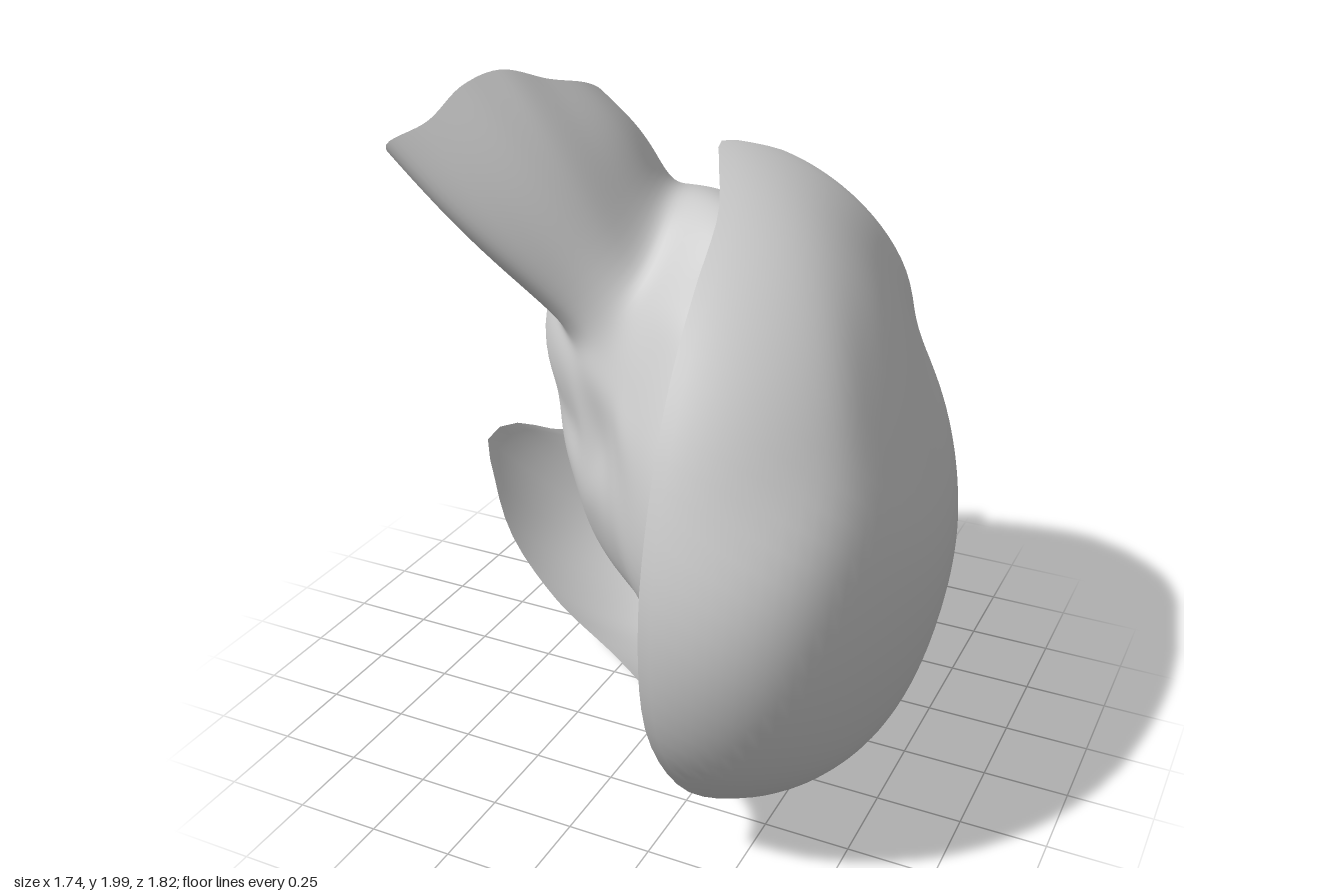
import * as THREE from 'three';

const V = (x, y, z) => new THREE.Vector3(x, y, z);
const triples = (a) => Array.from({ length: a.length / 3 }, (_, i) => V(a[3 * i], a[3 * i + 1], a[3 * i + 2]));
const closed = (pts, n) => new THREE.CatmullRomCurve3(pts, true, 'centripetal').getSpacedPoints(n).slice(0, n);
const N = 96;

// Skin through closed loops of equal length
function loft(name, loops) {
  const pos = [], idx = [];
  loops.forEach((loop) => loop.forEach((p) => pos.push(p.x, p.y, p.z)));
  for (let j = 0; j < loops.length - 1; j++) {
    for (let i = 0; i < N; i++) {
      const a = j * N + i, b = j * N + (i + 1) % N;
      idx.push(a, b, b + N, a, b + N, a + N);
    }
  }
  const g = new THREE.BufferGeometry();
  g.setAttribute('position', new THREE.Float32BufferAttribute(pos, 3));
  g.setIndex(idx);
  g.computeVertexNormals();
  const mesh = new THREE.Mesh(g, new THREE.MeshStandardMaterial({ color: 0xcccccc, side: THREE.DoubleSide }));
  mesh.name = name;
  return mesh;
}

// Skewed ellipsoid around a centre, pulled smoothly towards guide points.
// Returns the radius in a given unit direction.
function blob(center, m, guides, spread) {
  const inv = new THREE.Matrix3().set(...m).invert();
  const base = (d) => 1 / Math.sqrt(d.dot(d.clone().applyMatrix3(inv)));
  const pulls = guides.map((p) => {
    const d = p.clone().sub(center), r = d.length();
    d.divideScalar(r);
    const k = r / base(d) - 1;
    return { d, k, goal: k };
  });
  const pull = (d) => {
    let sum = 0, total = 0.04;
    for (const p of pulls) {
      const w = Math.exp(-p.d.distanceToSquared(d) / spread);
      sum += w * p.k;
      total += w;
    }
    return sum / total;
  };
  // Strengthen the pulls where blending has weakened them
  for (let pass = 0; pass < 2; pass++) {
    const miss = pulls.map((p) => p.goal - pull(p.d));
    pulls.forEach((p, i) => { p.k += 0.7 * miss[i]; });
  }
  return (d) => base(d) * (1 + pull(d));
}

// Outer wall: an open bowl from its wavy rim to a pole
function outerWall() {
  const C = V(0.05, 0.87, 0);
  const rim = triples([
    0.06, 1.8, -0.13, 0.12, 1.78, 0.02, 0.2, 1.7, 0.2, 0.24, 1.57, 0.43, 0.26, 1.42, 0.6,
    0.28, 1.2, 0.76, 0.3, 0.85, 0.89, 0.31, 0.5, 0.87, 0.35, 0.25, 0.74, 0.4, 0.12, 0.58,
    0.38, 0.08, 0.49, 0.3, 0.075, 0.42, 0, 0.095, 0.2, -0.2, 0.125, 0.08, -0.5, 0.2, -0.05,
    -0.7, 0.36, -0.12, -0.8, 0.52, -0.19, -0.85, 0.64, -0.25, -0.8, 0.65, -0.36, -0.72, 0.6, -0.46,
    -0.58, 0.59, -0.59, -0.37, 0.7, -0.78, -0.2, 0.85, -0.88, -0.05, 1.0, -0.9,
    0.07, 1.27, -0.8, 0.11, 1.57, -0.61, 0.16, 1.69, -0.44, 0.1, 1.77, -0.25]);
  const sides = triples([
    0.47, 0.65, 0.91, 0.7, 0.62, 0.75, 0.81, 0.65, 0.5, 0.87, 0.72, 0.18, 0.85, 0.8, -0.05,
    0.75, 0.85, -0.3, 0.6, 0.88, -0.5, 0.35, 0.92, -0.75, 0.08, 0.9, -0.91,
    0.35, 1.7, -0.08, 0.55, 1.5, -0.05, 0.7, 1.25, 0, 0.8, 1.0, 0.05, 0.83, 0.45, 0.18,
    0.72, 0.22, 0.15, 0.55, 0.08, 0.1, 0.3, 0, 0.05, 0, 0.045, -0.02, -0.4, 0.14, -0.18,
    -0.65, 0.3, -0.28, 0.45, 0.42, 0.86, 0.45, 0.2, 0.7, 0.45, 0.08, 0.5, 0.33, 1.48, 0.55,
    0.3, 1.64, 0.35, 0.05, 0.57, -0.82, 0.1, 0.32, -0.6, 0.2, 0.1, -0.27, 0.2, 1.6, -0.6, 0.27, 1.68, -0.42]);
  const radius = blob(C, [0.67, -0.09, 0.2, -0.09, 0.81, -0.09, 0.2, -0.09, 0.83], rim.concat(sides), 0.08);
  const pole = V(0.84, -0.45, -0.28).normalize();
  const edge = closed(rim, N).map((p) => {
    const d = p.clone().sub(C), r = d.length();
    d.divideScalar(r);
    return { d, k: r / radius(d) - 1, angle: d.angleTo(pole), axis: d.clone().cross(pole).normalize() };
  });
  const rows = 40, loops = [];
  for (let j = 0; j <= rows; j++) {
    const v = j / rows;
    loops.push(edge.map((e) => {
      const d = e.d.clone().applyAxisAngle(e.axis, e.angle * v);
      return d.clone().multiplyScalar(radius(d) * (1 + e.k * (1 - v) ** 5)).add(C);
    }));
  }
  return loft('outerWall', loops);
}

// Shift and, if needed, reverse a rim so it matches a root loop
function align(rim, root) {
  let best = null, least = Infinity;
  for (const r of [rim, rim.slice().reverse()]) {
    for (let s = 0; s < N; s++) {
      let sum = 0;
      for (let i = 0; i < N; i++) sum += r[(i + s) % N].distanceToSquared(root[i]);
      if (sum < least) {
        least = sum;
        best = root.map((_, i) => r[(i + s) % N]);
      }
    }
  }
  return best;
}

// Loops from a root to its rim, slightly swollen around the tube's middle
function tube(root, rim, rows, swell) {
  const end = align(rim, root), loops = [];
  for (let j = 1; j <= rows; j++) {
    const t = j / rows;
    const loop = root.map((p, i) => p.clone().lerp(end[i], t));
    const mid = loop.reduce((s, p) => s.add(p), V(0, 0, 0)).divideScalar(N);
    loops.push(loop.map((p) => p.lerp(mid, -swell * Math.sin(Math.PI * t))));
  }
  return loops;
}

// Inner chamber with a wide back opening and a flared upper tube
function innerChamber() {
  const C = V(0.08, 0.9, -0.02);
  const guides = triples([
    -0.1, 1.61, -0.2, 0.1, 1.6, -0.2, 0.25, 1.53, -0.15,
    -0.36, 0.95, 0.02, -0.15, 0.95, 0.19, 0.05, 0.9, 0.4, 0.26, 0.9, 0.6,
    -0.36, 0.65, 0, -0.12, 0.57, 0.2, 0.1, 0.52, 0.43, 0.26, 0.57, 0.63,
    -0.33, 1.2, 0.04, -0.1, 1.2, 0.19, 0.1, 1.2, 0.33, 0.26, 1.25, 0.43,
    -0.05, 1.45, 0.03, 0.2, 1.45, 0.15,
    -0.38, 0.49, -0.1, -0.25, 0.39, 0, 0, 0.3, 0.1, 0.2, 0.25, 0.2, 0.35, 0.24, 0.2,
    -0.56, 1.1, -0.15, -0.5, 0.65, -0.2, 0.02, 1.2, -0.65, 0, 0.62, -0.62, 0.32, 0.9, -0.57,
    -0.28, 0.6, -0.5, 0.65, 0.75, 0.12, 0.48, 1.23, -0.1, 0.59, 0.42, 0.12, 0.43, 0.43, 0.57,
    0.58, 0.7, 0.43, 0.3, 0.32, -0.3, 0.1, 1.45, -0.47, -0.41, 1.49, -0.13, -0.34, 1.03, -0.56]);
  const radius = blob(C, [0.36, -0.05, 0.23, -0.05, 0.46, -0.03, 0.23, -0.03, 0.42], guides, 0.07);
  const nA = V(-0.48, 0.14, -0.63).normalize(), cosA = Math.cos(0.46);
  const nB = V(-0.46, 0.59, -0.11).normalize(), cosB = Math.cos(0.36);
  const w = nA.clone().cross(nB).normalize();

  // Circles sweeping over the body from one opening to the other
  const rows = 56, body = [];
  for (let j = 0; j <= rows; j++) {
    const t = j / rows;
    const m = nA.clone().multiplyScalar(1 - t).addScaledVector(nB, -t);
    const c = ((1 - t) * cosA - t * cosB) / m.length();
    m.normalize();
    const q = m.clone().cross(w), s = Math.sqrt(Math.max(0, 1 - c * c));
    body.push(Array.from({ length: N }, (_, i) => {
      const a = (i / N) * Math.PI * 2;
      const d = m.clone().multiplyScalar(c).addScaledVector(w, s * Math.cos(a)).addScaledVector(q, s * Math.sin(a));
      return d.clone().multiplyScalar(radius(d)).add(C);
    }));
  }

  // Tilted oval rim of the back opening
  const h = V(0.757, 0.319, -0.571), up = V(-0.04, 0.895, 0.445);
  const backRim = Array.from({ length: N }, (_, i) => {
    const a = (i / N) * Math.PI * 2;
    return V(-0.405, 1.03, -0.66).addScaledVector(h, 0.37 * Math.cos(a)).addScaledVector(up, 0.34 * Math.sin(a));
  });
  // Ragged rim of the upper tube
  const topRim = closed(triples([
    -0.36, 1.93, -0.1, -0.37, 1.88, -0.22, -0.44, 1.81, -0.34, -0.52, 1.72, -0.42, -0.62, 1.62, -0.39,
    -0.75, 1.57, -0.27, -0.87, 1.66, -0.06, -0.85, 1.7, 0.14, -0.8, 1.79, 0.27, -0.7, 1.85, 0.21,
    -0.61, 1.95, 0.16, -0.5, 2.0, 0.13, -0.41, 1.96, 0.02]), N);
  const back = tube(body[0], backRim, 8, 0).reverse();
  const top = tube(body[rows], topRim, 14, 0.1);

  // Soften the creases where the tubes leave the body
  let loops = [...back, ...body, ...top];
  for (let pass = 0; pass < 14; pass++) {
    loops = loops.map((loop, j) => (j === 0 || j === loops.length - 1 ? loop : loop.map((p, i) =>
      loops[j - 1][i].clone().add(loops[j + 1][i]).multiplyScalar(0.25).addScaledVector(p, 0.5))));
  }
  return loft('innerChamber', loops);
}

export function createModel() {
  const group = new THREE.Group();
  group.name = 'openChamberModel';
  group.add(outerWall(), innerChamber());
  return group;
}
